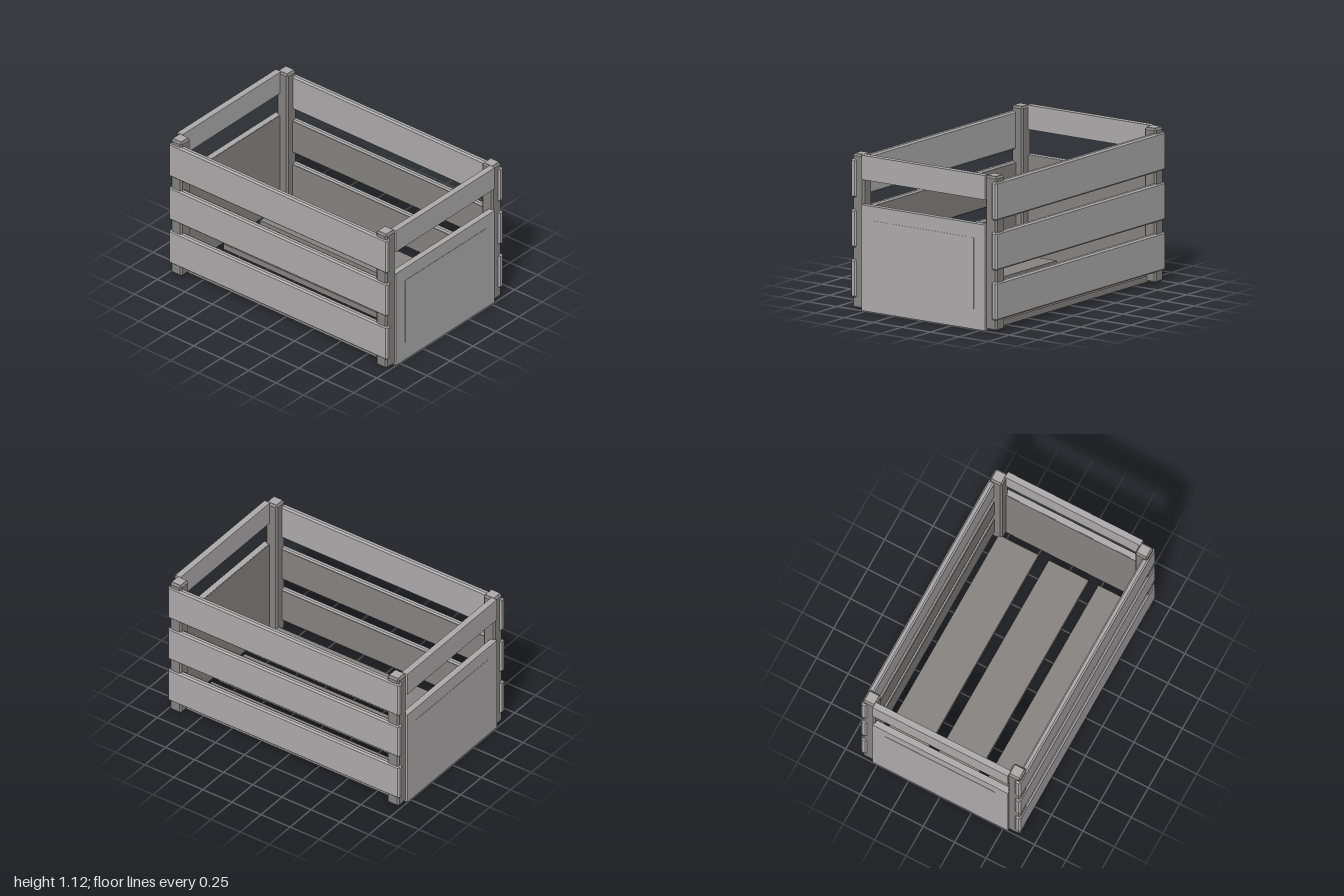
import * as THREE from 'three';
import { ConvexGeometry } from 'three/addons/geometries/ConvexGeometry.js';

// Box with flat chamfered edges: the convex hull of three overlapping boxes
function chamferBox(w, h, d, c) {
  const points = [];
  for (const sx of [-0.5, 0.5]) for (const sy of [-0.5, 0.5]) for (const sz of [-0.5, 0.5]) {
    const ix = sx * (w - 2 * c), iy = sy * (h - 2 * c), iz = sz * (d - 2 * c);
    points.push(
      new THREE.Vector3(sx * w, iy, iz),
      new THREE.Vector3(ix, sy * h, iz),
      new THREE.Vector3(ix, iy, sz * d));
  }
  return new ConvexGeometry(points);
}

export function createModel() {
  const crate = new THREE.Group();
  crate.name = 'crate';

  const lightWood = new THREE.MeshStandardMaterial({ color: 0xacaaab });
  lightWood.name = 'light wood';
  const darkWood = new THREE.MeshStandardMaterial({ color: 0x868380 });
  darkWood.name = 'dark wood';

  // Places a box given by its lower and upper bounds on each axis
  function addBox(name, material, [x0, x1], [y0, y1], [z0, z1], chamfer = 0) {
    const w = x1 - x0, h = y1 - y0, d = z1 - z0;
    const geometry = chamfer ? chamferBox(w, h, d, chamfer) : new THREE.BoxGeometry(w, h, d);
    const mesh = new THREE.Mesh(geometry, material);
    mesh.name = name;
    mesh.position.set((x0 + x1) / 2, (y0 + y1) / 2, (z0 + z1) / 2);
    crate.add(mesh);
  }
  // Bounds mirrored to the negative side when s is -1
  const side = (s, a, b) => (s > 0 ? [a, b] : [-b, -a]);

  // Corner posts with pale top ends
  for (const sx of [-1, 1]) for (const sz of [-1, 1]) {
    addBox('cornerPost', darkWood, side(sx, 0.885, 0.985), [0.005, 1.112], side(sz, 0.527, 0.627), 0.013);
    addBox('postTop', lightWood, side(sx, 0.898, 0.972), [1.11, 1.115], side(sz, 0.54, 0.614));
  }

  // Three long slats on the front and back, the lower two darker inside
  const slatHeights = [[0.083, 0.358], [0.442, 0.716], [0.8, 1.077]];
  for (const sz of [-1, 1]) {
    slatHeights.forEach(([y0, y1], i) => {
      addBox('longSlat', lightWood, [-0.997, 0.997], [y0, y1], side(sz, 0.588, 0.635), 0.012);
      if (i < 2) {
        addBox('slatInnerFace', darkWood, [-0.885, 0.885], [y0 + 0.01, y1 - 0.01], side(sz, 0.585, 0.59));
      }
    });
  }

  // End panels with a raised field, and the rail above each hand opening
  for (const sx of [-1, 1]) {
    addBox('endPanel', lightWood, side(sx, 0.953, 0.998), [0, 0.76], [-0.537, 0.537]);
    addBox('endPanelField', lightWood, side(sx, 0.997, 1), [0.145, 0.657], [-0.44, 0.44]);
    addBox('endPanelInnerFace', darkWood, side(sx, 0.95, 0.954), [0.002, 0.758], [-0.535, 0.535]);
    addBox('endRail', lightWood, side(sx, 0.951, 0.998), [0.94, 1.115], [-0.537, 0.537]);
  }

  // Floor planks
  for (const z of [-0.398, 0, 0.393]) {
    addBox('floorPlank', darkWood, [-0.895, 0.895], [0.005, 0.05], [z - 0.158, z + 0.158]);
  }

  return crate;
}
